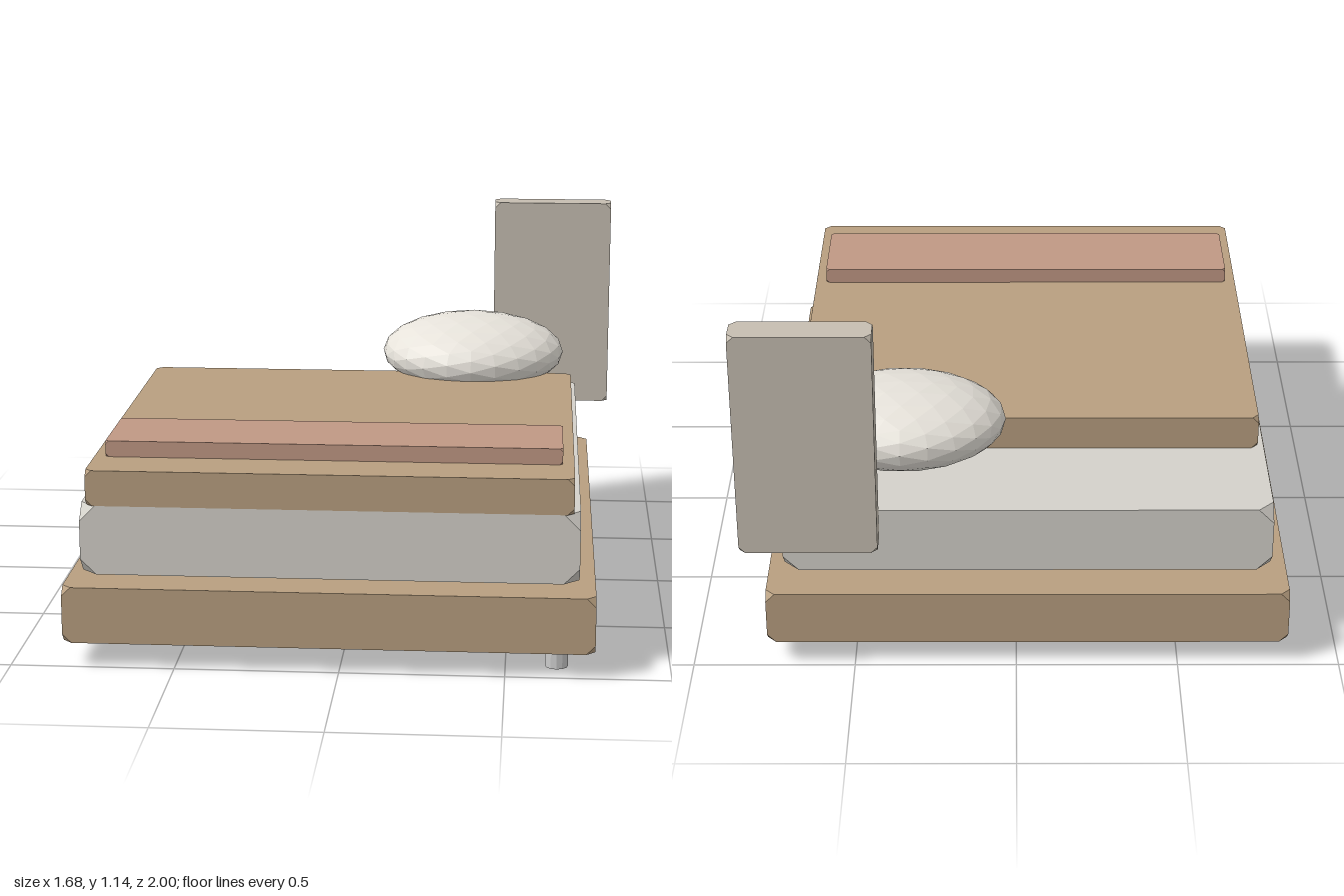
import * as THREE from 'three';
import { ConvexGeometry } from 'three/addons/geometries/ConvexGeometry.js';

const material = (color) => new THREE.MeshStandardMaterial({ color, flatShading: true });

// Box between two corners with all eight corners clipped by a small triangle
function clippedBox(name, [x0, y0, z0], [x1, y1, z1], cut, color) {
  const half = [(x1 - x0) / 2, (y1 - y0) / 2, (z1 - z0) / 2];
  const points = [];
  for (const sx of [-1, 1]) for (const sy of [-1, 1]) for (const sz of [-1, 1]) {
    for (let axis = 0; axis < 3; axis++) {
      const h = half.slice();
      h[axis] -= cut;
      points.push(new THREE.Vector3(sx * h[0], sy * h[1], sz * h[2]));
    }
  }
  const mesh = new THREE.Mesh(new ConvexGeometry(points), material(color));
  mesh.name = name;
  mesh.position.set((x0 + x1) / 2, (y0 + y1) / 2, (z0 + z1) / 2);
  return mesh;
}

export function createModel() {
  const bed = new THREE.Group();
  bed.name = 'bed';

  const wood = 0xb89f80;
  bed.add(
    clippedBox('bedBase', [-0.84, 0.075, -0.985], [0.77, 0.25, 1], 0.028, wood),
    clippedBox('mattress', [-0.79, 0.275, -0.885], [0.72, 0.49, 0.94], 0.048, 0xd4d1ca),
    clippedBox('blanket', [-0.77, 0.49, -0.505], [0.7, 0.6, 0.94], 0.02, wood),
    clippedBox('foldedThrow', [-0.735, 0.6, 0.47], [0.665, 0.65, 0.77], 0.01, 0xc09884),
    clippedBox('headboard', [0.42, 0.41, -1], [0.84, 1.145, -0.9], 0.02, 0xc6beb1)
  );

  // Faceted pillow, its far end tipped slightly upward
  const pillow = new THREE.Mesh(new THREE.IcosahedronGeometry(1, 3), material(0xe6e2da));
  pillow.name = 'pillow';
  pillow.scale.set(0.32, 0.127, 0.277);
  pillow.rotation.x = 0.085;
  pillow.position.set(0.352, 0.657, -0.61);
  bed.add(pillow);

  // Short round foot under the front left corner
  const foot = new THREE.Mesh(
    new THREE.CylinderGeometry(0.035, 0.035, 0.075, 12),
    material(0xcccccc)
  );
  foot.name = 'foot';
  foot.position.set(0.655, 0.0375, 0.887);
  bed.add(foot);

  return bed;
}
